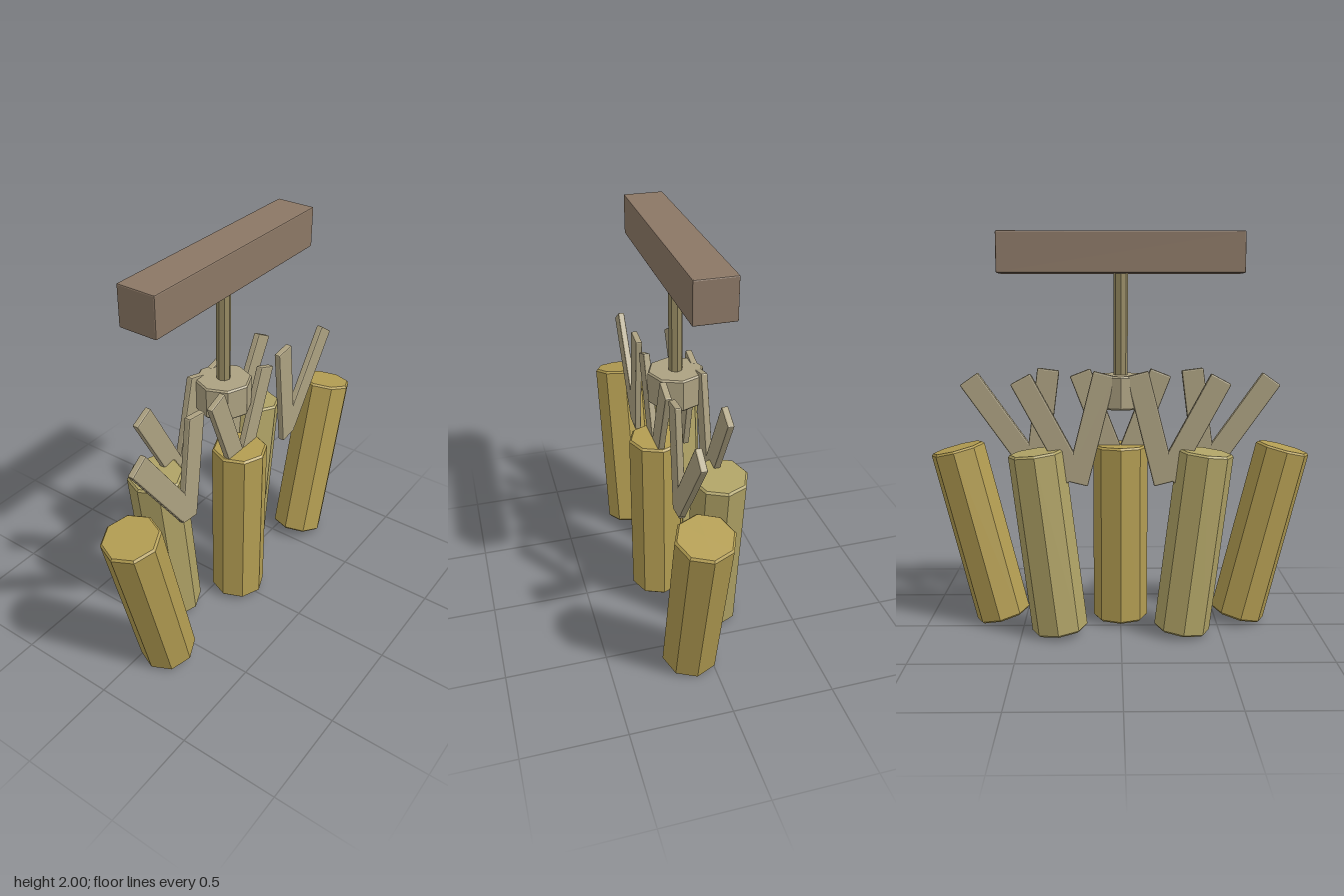
import * as THREE from 'three';
import { RoundedBoxGeometry } from 'three/addons/geometries/RoundedBoxGeometry.js';

const paint = (color) => new THREE.MeshStandardMaterial({ color, flatShading: true });

// Upright octagonal prism with a small bevel around both ends
function prism(radius, height, bevel) {
  const h = height / 2;
  const profile = [
    [0, -h], [radius - bevel, -h], [radius, -h + bevel],
    [radius, h - bevel], [radius - bevel, h], [0, h],
  ].map(([x, y]) => new THREE.Vector2(x, y));
  return new THREE.LatheGeometry(profile, 8);
}

export function createModel() {
  const model = new THREE.Group();
  const add = (name, geometry, material, x, y, z, tilt = 0) => {
    const mesh = new THREE.Mesh(geometry, material);
    mesh.name = name;
    mesh.position.set(x, y, z);
    mesh.rotation.z = tilt;
    model.add(mesh);
  };

  const wood = paint(0x8b7765);
  const brass = paint(0x968a62);
  const gold = paint(0xb39d52);
  const paleGold = paint(0xb0a366);
  const strapTan = paint(0xaca181);

  // Top bar, post and hub
  add('topBar', new RoundedBoxGeometry(1.2, 0.2, 0.2, 1, 0.006), wood, 0, 1.9, 0);
  add('post', prism(0.035, 0.56, 0.002), brass, 0, 1.54, 0);
  add('hub', prism(0.14, 0.165, 0.008), strapTan, 0, 1.222, 0);

  // Five fanned tubes, alternating front and back, each with a V of two straps
  const tube = prism(0.14, 0.915, 0.01);
  const strap = new RoundedBoxGeometry(0.112, 0.56, 0.034, 1, 0.007);
  const spread = THREE.MathUtils.degToRad(21.3);
  for (let i = -2; i <= 2; i++) {
    const front = i % 2 === 0;
    const side = front ? 1 : -1;
    const tilt = THREE.MathUtils.degToRad(-7 * i);
    add('tube', tube, front ? gold : paleGold, 0.363 * i, 0.478, 0.1 * side, tilt);
    for (const s of [-1, 1]) {
      add('strap', strap, strapTan, 0.253 * i + 0.104 * s, 1.046, 0.105 * side, tilt - s * spread);
    }
  }
  return model;
}
